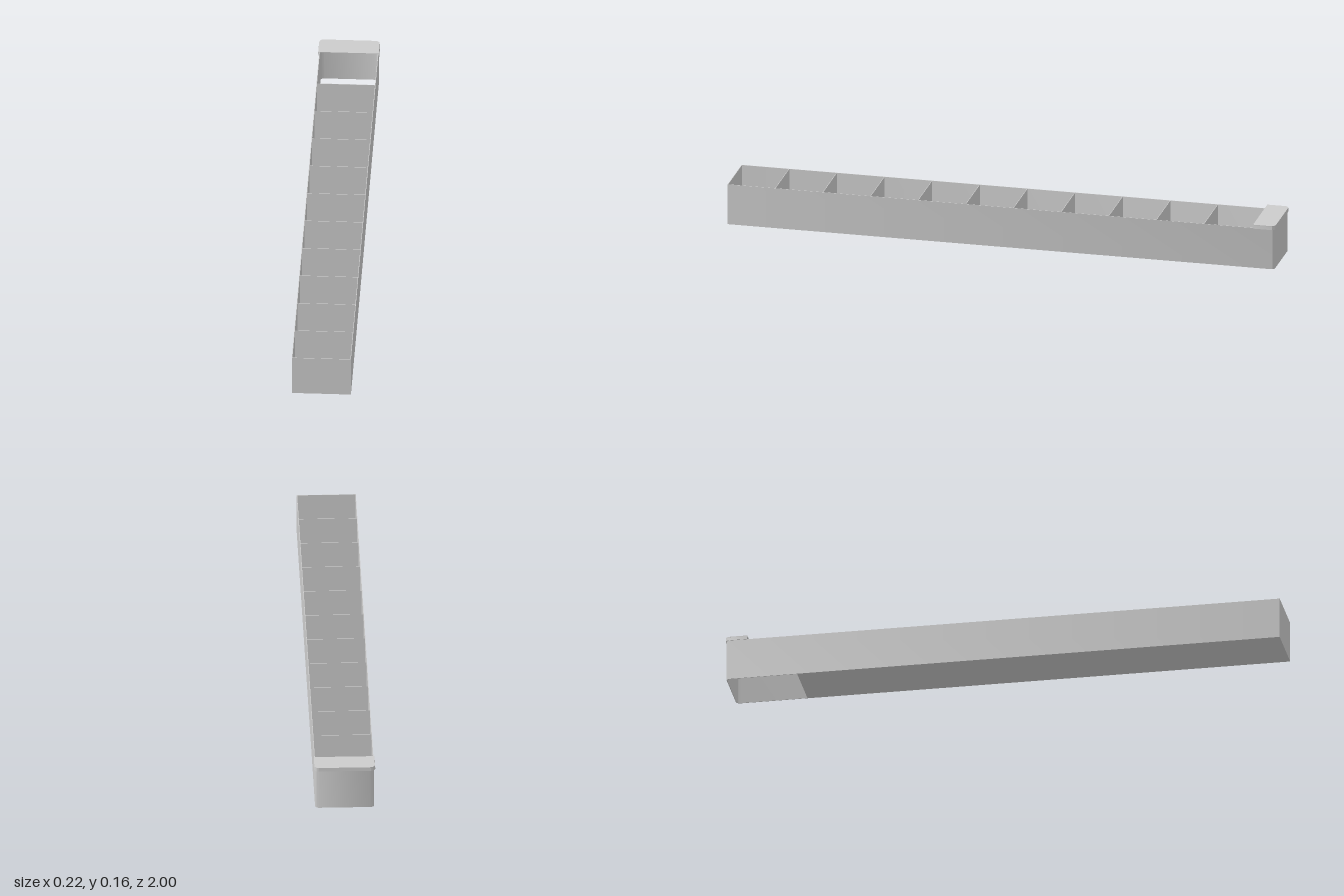
import * as THREE from 'three';
import { toCreasedNormals } from 'three/addons/utils/BufferGeometryUtils.js';

const W = 0.105;      // half width of the tray
const H = 0.15;       // wall height
const T = 0.002;      // sheet thickness
const BAY = 0.174;    // spacing of the dividers
const BACK = 0.997;   // distance of the rear wall behind the centre

const material = new THREE.MeshStandardMaterial({ color: 0xcccccc, side: THREE.DoubleSide });

// Adds one arm-to-arm run around a rounded rear end; shape y points to -z.
function roundedEnd(shape, w, start, end, r) {
  shape.moveTo(-w, start);
  shape.lineTo(-w, end - r);
  shape.absarc(-w + r, end - r, r, Math.PI, Math.PI / 2, true);
  shape.lineTo(w - r, end);
  shape.absarc(w - r, end - r, r, Math.PI / 2, 0, true);
  shape.lineTo(w, start);
  return shape;
}

// U-shaped band: outer outline, then the inner outline traced back.
function band(w, start, end, r) {
  const outer = roundedEnd(new THREE.Shape(), w, start, end, r).getPoints(8);
  const inner = roundedEnd(new THREE.Shape(), w - T, start, end - T, r - T).getPoints(8);
  return new THREE.Shape([...outer, ...inner.reverse()]);
}

// Extrudes a plan outline upwards from height y.
function upright(shape, y, height) {
  const g = new THREE.ExtrudeGeometry(shape, { depth: height, bevelEnabled: false, curveSegments: 8 });
  g.rotateX(-Math.PI / 2);
  g.translate(0, y, 0);
  return g;
}

export function createModel() {
  const model = new THREE.Group();
  const add = (parent, name, geometry, x = 0, y = 0, z = 0) => {
    const mesh = new THREE.Mesh(geometry, material);
    mesh.name = name;
    mesh.position.set(x, y, z);
    parent.add(mesh);
  };

  // Long side walls joined by the rounded rear wall
  add(model, 'sideAndRearWall', toCreasedNormals(upright(band(W, -1, BACK, 0.014), 0, H), 0.6));

  // Front wall and floor; the last bay at the rear has no floor
  const rearDivider = 1 - 10 * BAY;
  const inside = 2 * (W - T);
  add(model, 'frontWall', new THREE.BoxGeometry(inside, H, T), 0, H / 2, 1 - T / 2);
  add(model, 'floor', new THREE.BoxGeometry(inside, T, 1 - rearDivider), 0, T / 2, (1 + rearDivider) / 2);

  // Evenly spaced dividers
  const dividers = new THREE.Group();
  dividers.name = 'dividers';
  for (let i = 1; i <= 10; i++) {
    add(dividers, 'divider' + i, new THREE.BoxGeometry(inside, H, T), 0, H / 2, 1 - i * BAY);
  }
  model.add(dividers);

  // Hollow cap over the rear end, open towards the front
  const cap = new THREE.Group();
  cap.name = 'cap';
  const skirt = upright(band(0.109, 0.92, 1, 0.016), 0.149, 0.0125);
  const p = skirt.attributes.position;
  for (let i = 0; i < p.count; i++) {
    if (p.getY(i) > 0.155) p.setX(i, p.getX(i) * 0.985);
  }
  add(cap, 'capSkirt', toCreasedNormals(skirt, 0.6));
  add(cap, 'capTop', toCreasedNormals(upright(roundedEnd(new THREE.Shape(), 0.1075, 0.92, 1, 0.016), 0.1615, T), 0.6));
  model.add(cap);

  return model;
}
